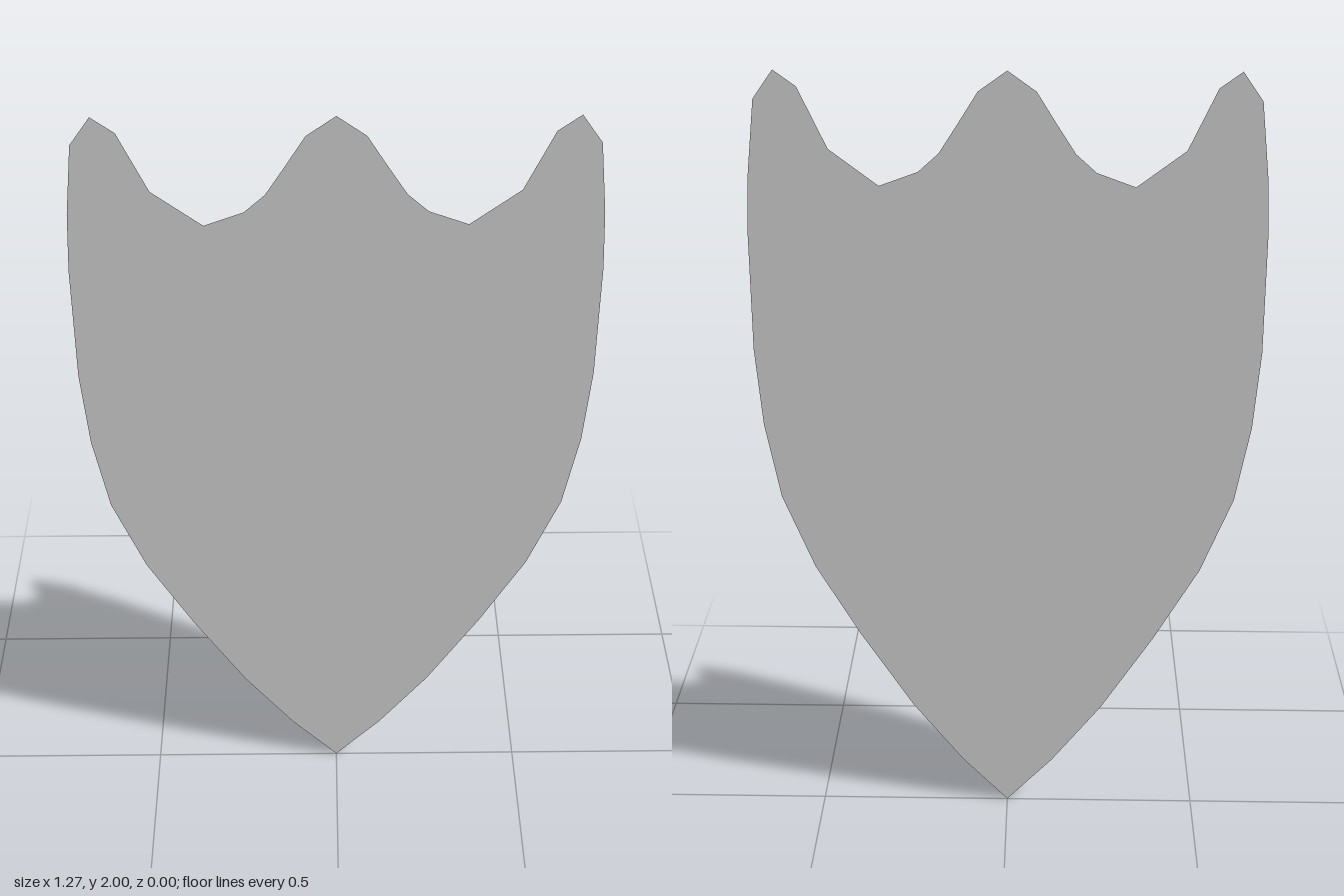
import * as THREE from 'three';

// Outline of one half, from the middle crest down to the bottom tip
const half = [
  [0, 2], [0.07, 1.95], [0.12, 1.87], [0.165, 1.8], [0.215, 1.755],
  [0.31, 1.72], [0.43, 1.81], [0.5, 1.96], [0.555, 2], [0.605, 1.93],
  [0.625, 1.75], [0.633, 1.6], [0.633, 1.3], [0.617, 1.1], [0.58, 0.9],
  [0.5, 0.7], [0.385, 0.5], [0.25, 0.29], [0.12, 0.125], [0, 0],
];

export function createModel() {
  const group = new THREE.Group();
  group.name = 'shield';

  // Mirror the half outline, leaving out the two shared points on the axis
  const right = half.map(([x, y]) => new THREE.Vector2(x, y));
  const left = half.slice(1, -1).reverse().map(([x, y]) => new THREE.Vector2(-x, y));

  // Flat sheet, seen from both sides
  const plate = new THREE.Mesh(
    new THREE.ShapeGeometry(new THREE.Shape([...right, ...left])),
    new THREE.MeshStandardMaterial({ color: 0xcccccc, side: THREE.DoubleSide })
  );
  plate.name = 'shieldPlate';
  group.add(plate);
  return group;
}
